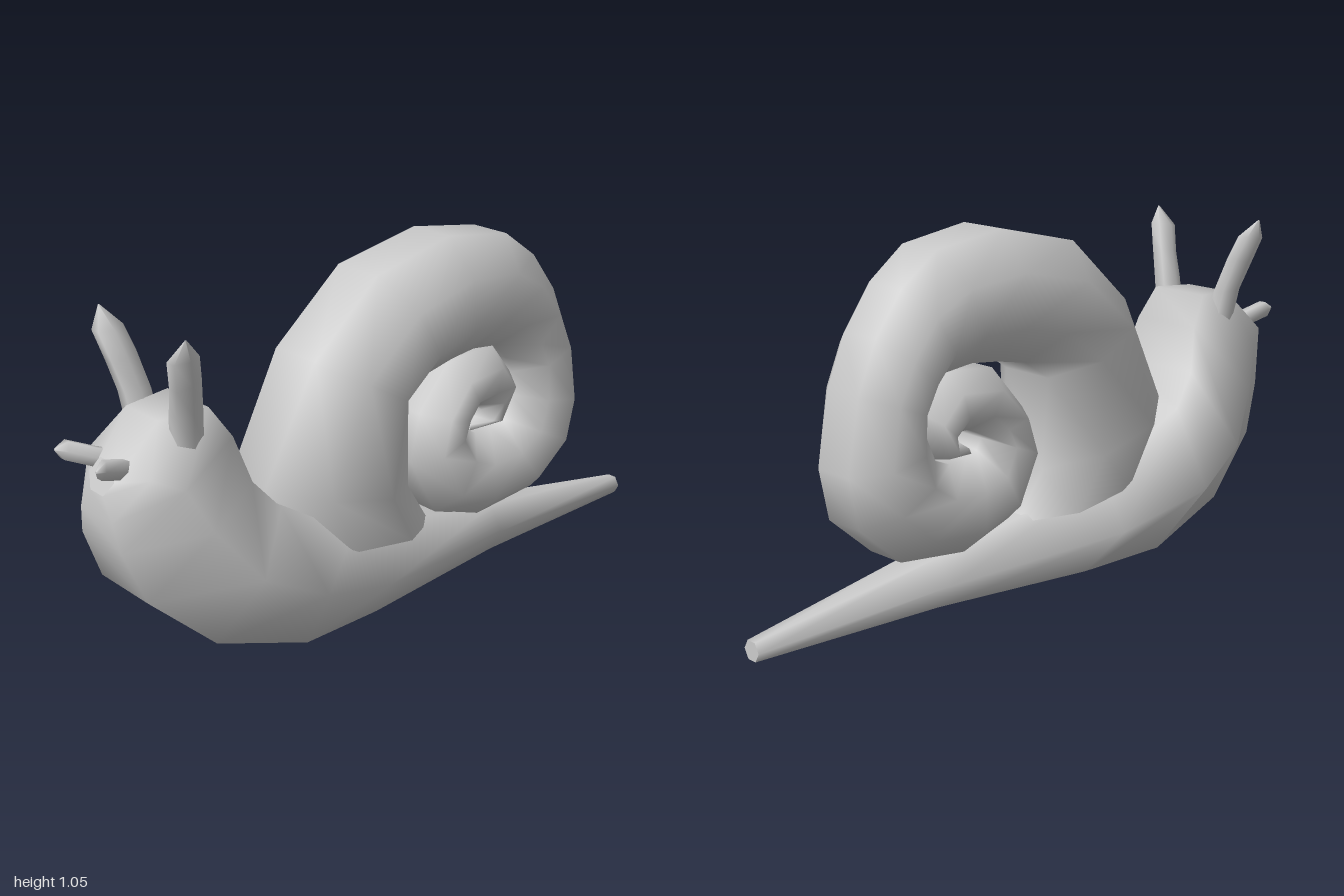
import * as THREE from 'three';

const material = new THREE.MeshStandardMaterial({ color: 0xcccccc, side: THREE.DoubleSide });

// Cross-section spanning an outer and an inner point in the xy plane, w = half width in z
function section([ox, oy, ix, iy, w], sides, z0) {
  const mx = (ox + ix) / 2, my = (oy + iy) / 2;
  const k = 1 / Math.cos(Math.PI / sides);
  const kz = sides % 4 === 0 ? k : 1;
  return Array.from({ length: sides }, (_, i) => {
    const a = ((i + 0.5) / sides) * Math.PI * 2;
    const c = Math.cos(a) * k;
    return [mx + (ox - mx) * c, my + (oy - my) * c, z0 + w * Math.sin(a) * kz];
  });
}

// Smooth skin through the sections, closed by a flat cap at both ends
function loft(name, rows, sides, z0 = 0) {
  const rings = rows.map((r) => section(r, sides, z0 + (r[5] ?? 0)));
  const pos = rings.flat(2);
  const index = [];
  for (let r = 0; r < rings.length - 1; r++) {
    for (let i = 0; i < sides; i++) {
      const j = (i + 1) % sides;
      const a = r * sides + i, b = r * sides + j;
      index.push(a, b, a + sides, b, b + sides, a + sides);
    }
  }
  const cap = (ring, flip) => {
    const base = pos.length / 3;
    pos.push(...ring.flat());
    for (let i = 1; i < sides - 1; i++) {
      if (flip) index.push(base, base + i + 1, base + i);
      else index.push(base, base + i, base + i + 1);
    }
  };
  cap(rings[0], true);
  cap(rings[rings.length - 1], false);
  const geo = new THREE.BufferGeometry();
  geo.setAttribute('position', new THREE.Float32BufferAttribute(pos, 3));
  geo.setIndex(index);
  geo.computeVertexNormals();
  const mesh = new THREE.Mesh(geo, material);
  mesh.name = name;
  return mesh;
}

export function createModel() {
  const snail = new THREE.Group();
  snail.name = 'snail';

  // Body from nose to tail: top x, y, bottom x, y, half width
  snail.add(loft('body', [
    [-0.91, 0.64, -0.945, 0.56, 0.06],
    [-0.80, 0.74, -0.95, 0.50, 0.15],
    [-0.66, 0.75, -0.94, 0.42, 0.19],
    [-0.60, 0.66, -0.88, 0.27, 0.225],
    [-0.56, 0.53, -0.69, 0.10, 0.275],
    [-0.48, 0.44, -0.40, 0.01, 0.305],
    [-0.20, 0.28, -0.12, 0.00, 0.23],
    [0.40, 0.165, 0.40, 0.018, 0.09],
    [1.00, 0.088, 1.00, 0.035, 0.03],
  ], 6));

  // Coiled shell from the opening to the apex: outer x, y, inner x, y, half width
  snail.add(loft('shell', [
    [-0.40, 0.26, 0.12, 0.20, 0.17],
    [-0.48, 0.46, 0.03, 0.34, 0.19],
    [-0.31, 0.79, 0.01, 0.61, 0.208],
    [-0.09, 0.99, 0.10, 0.67, 0.20],
    [0.18, 1.055, 0.20, 0.69, 0.18],
    [0.41, 1.025, 0.29, 0.70, 0.165],
    [0.53, 0.94, 0.38, 0.69, 0.155],
    [0.62, 0.82, 0.43, 0.64, 0.152],
    [0.68, 0.68, 0.46, 0.59, 0.15],
    [0.72, 0.47, 0.45, 0.52, 0.15],
    [0.69, 0.32, 0.42, 0.45, 0.15],
    [0.55, 0.195, 0.37, 0.43, 0.15],
    [0.32, 0.165, 0.31, 0.43, 0.15],
    [0.15, 0.22, 0.27, 0.45, 0.15],
    [0.055, 0.40, 0.25, 0.48, 0.145],
    [0.09, 0.54, 0.27, 0.50, 0.14],
    [0.20, 0.67, 0.29, 0.51, 0.13],
    [0.38, 0.69, 0.33, 0.51, 0.12],
    [0.46, 0.59, 0.35, 0.49, 0.11],
    [0.42, 0.45, 0.33, 0.47, 0.09],
    [0.28, 0.43, 0.30, 0.47, 0.06],
  ], 8));

  // Paired feelers, leaning outward through the sixth value (z shift)
  for (const s of [1, -1]) {
    const side = s > 0 ? 'left' : 'right';
    snail.add(loft(side + 'EyeStalk', [
      [-0.775, 0.66, -0.695, 0.66, 0.04, s * 0.01],
      [-0.785, 0.76, -0.705, 0.76, 0.036, s * 0.03],
      [-0.80, 0.84, -0.725, 0.86, 0.034, s * 0.06],
      [-0.82, 0.92, -0.745, 0.93, 0.034, s * 0.085],
      [-0.791, 0.98, -0.787, 0.98, 0.002, s * 0.11],
    ], 6, s * 0.09));
    snail.add(loft(side + 'Feeler', [
      [-0.87, 0.59, -0.85, 0.64, 0.026, 0],
      [-0.92, 0.61, -0.90, 0.655, 0.024, s * 0.02],
      [-0.985, 0.635, -0.97, 0.682, 0.022, s * 0.05],
      [-1.0, 0.658, -1.0, 0.664, 0.004, s * 0.06],
    ], 6, s * 0.04));
  }
  return snail;
}
